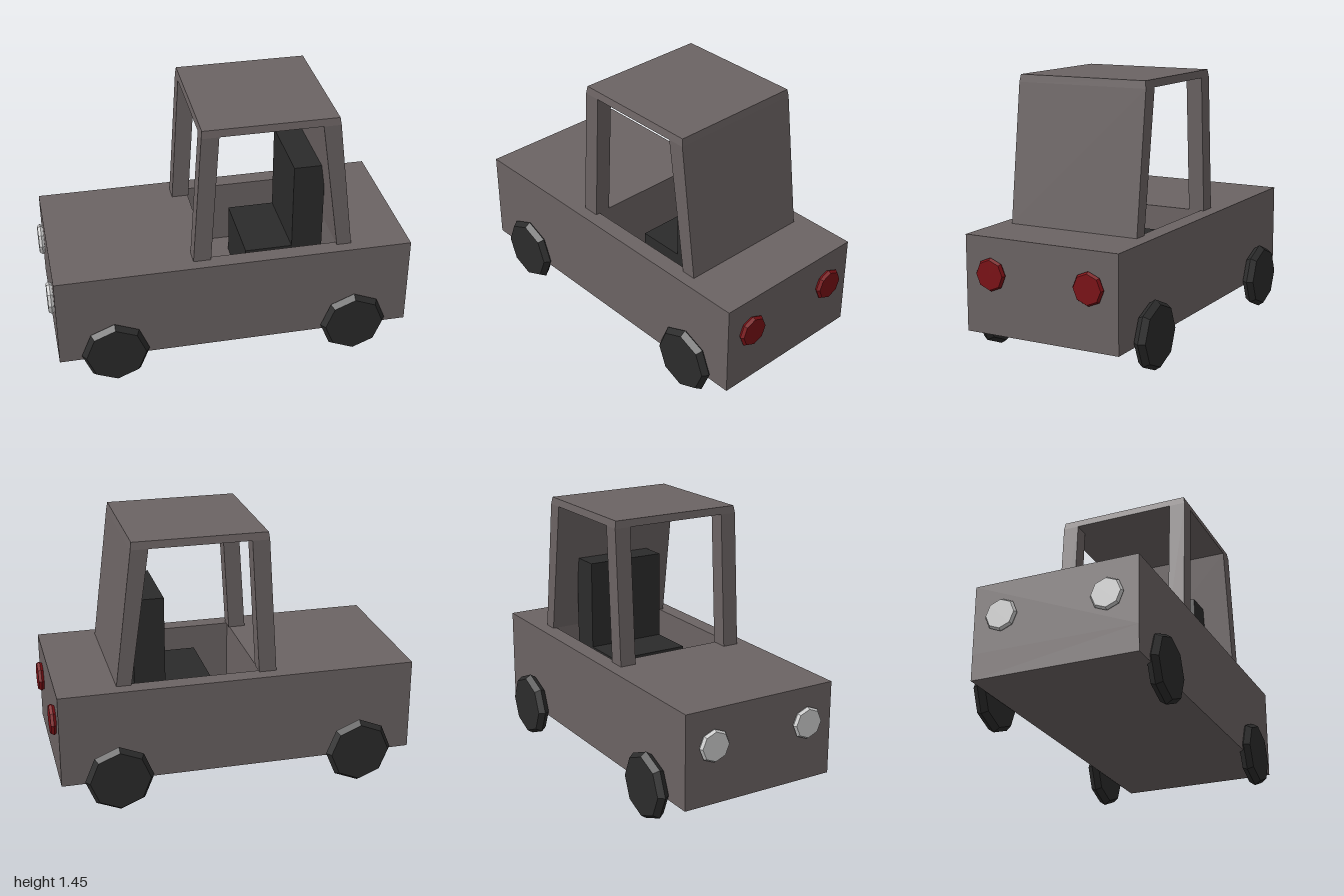
import * as THREE from 'three';

const paint = (color) => new THREE.MeshStandardMaterial({ color, flatShading: true });

export function createModel() {
  const car = new THREE.Group();
  car.name = 'car';
  const bodyMat = paint(0x6b6363), black = paint(0x2b2b2b);
  const red = paint(0x7a1015), glass = paint(0xcccccc);

  const add = (name, geometry, material) => {
    const mesh = new THREE.Mesh(geometry, material);
    mesh.name = name;
    car.add(mesh);
    return mesh;
  };
  // box given by its limits
  const block = (name, x0, x1, y0, y1, z0, z1, material) => add(name,
    new THREE.BoxGeometry(x1 - x0, y1 - y0, z1 - z0)
      .translate((x0 + x1) / 2, (y0 + y1) / 2, (z0 + z1) / 2), material);
  // side profile (x, y) extruded from z0 to z1
  const slab = (name, pts, z0, z1) => add(name,
    new THREE.ExtrudeGeometry(new THREE.Shape(pts.map(([x, y]) => new THREE.Vector2(x, y))),
      { depth: z1 - z0, bevelEnabled: false }).translate(0, 0, z0), bodyMat);
  // rectangle on the ground plane, as shape points (y = -z)
  const rect = (x0, x1, z0, z1) => [[x0, -z1], [x1, -z1], [x1, -z0], [x0, -z0]]
    .map(([x, y]) => new THREE.Vector2(x, y));
  // eight-sided disc with a ridged rim, axis along y
  const disc = (r, rFace, half) => new THREE.LatheGeometry(
    [[0, -half], [rFace, -half], [r, 0], [rFace, half], [0, half]]
      .map(([x, y]) => new THREE.Vector2(x, y)), 8);

  // body: solid underside and a tub open at the cockpit
  const floorY = 0.3, deckY = 0.67;
  block('underbody', -0.97, 0.97, 0.16, floorY, -0.43, 0.46, bodyMat);
  const deck = new THREE.Shape(rect(-0.97, 0.97, -0.43, 0.46));
  deck.holes.push(new THREE.Path(rect(-0.13, 0.57, -0.335, 0.37)));
  add('body', new THREE.ExtrudeGeometry(deck, { depth: deckY - floorY, bevelEnabled: false })
    .rotateX(-Math.PI / 2).translate(0, floorY, 0), bodyMat);

  // cab: two front pillars, closed rear panel, roof
  const z0 = -0.355, z1 = 0.395, roofY = 1.41;
  const pillar = [[-0.22, deckY], [-0.125, deckY], [-0.08, roofY], [-0.173, roofY]];
  slab('leftPillar', pillar, z1 - 0.09, z1);
  slab('rightPillar', pillar, z0, z0 + 0.09);
  slab('rearPanel', [[0.57, deckY], [0.65, deckY], [0.556, roofY], [0.463, roofY]], z0, z1);
  const roof = slab('roof',
    [[-0.173, roofY], [0.556, roofY], [0.55, 1.45], [-0.168, 1.45]], z0, z1);
  // the roof narrows slightly towards its top
  const p = roof.geometry.attributes.position;
  for (let i = 0; i < p.count; i++) {
    if (p.getY(i) > 1.43) p.setZ(i, p.getZ(i) - Math.sign(p.getZ(i)) * 0.007);
  }
  roof.geometry.computeVertexNormals();

  // seat
  block('seatCushion', 0.1, 0.36, floorY, 0.59, -0.21, 0.24, black);
  block('seatBack', 0.36, 0.53, floorY, 1.085, -0.21, 0.24, black);

  // wheels
  for (const x of [-0.665, 0.665]) {
    for (const z of [-0.467, 0.467]) {
      add('wheel', disc(0.185, 0.163, 0.032).rotateX(Math.PI / 2), black).position.set(x, 0.19, z);
    }
  }

  // lamps at both ends
  for (const z of [-0.27, 0.3]) {
    add('headlight', disc(0.088, 0.078, 0.016).rotateZ(Math.PI / 2), glass).position.set(-0.984, 0.48, z);
    add('tailLight', disc(0.088, 0.078, 0.016).rotateZ(Math.PI / 2), red).position.set(0.984, 0.48, z);
  }
  return car;
}
